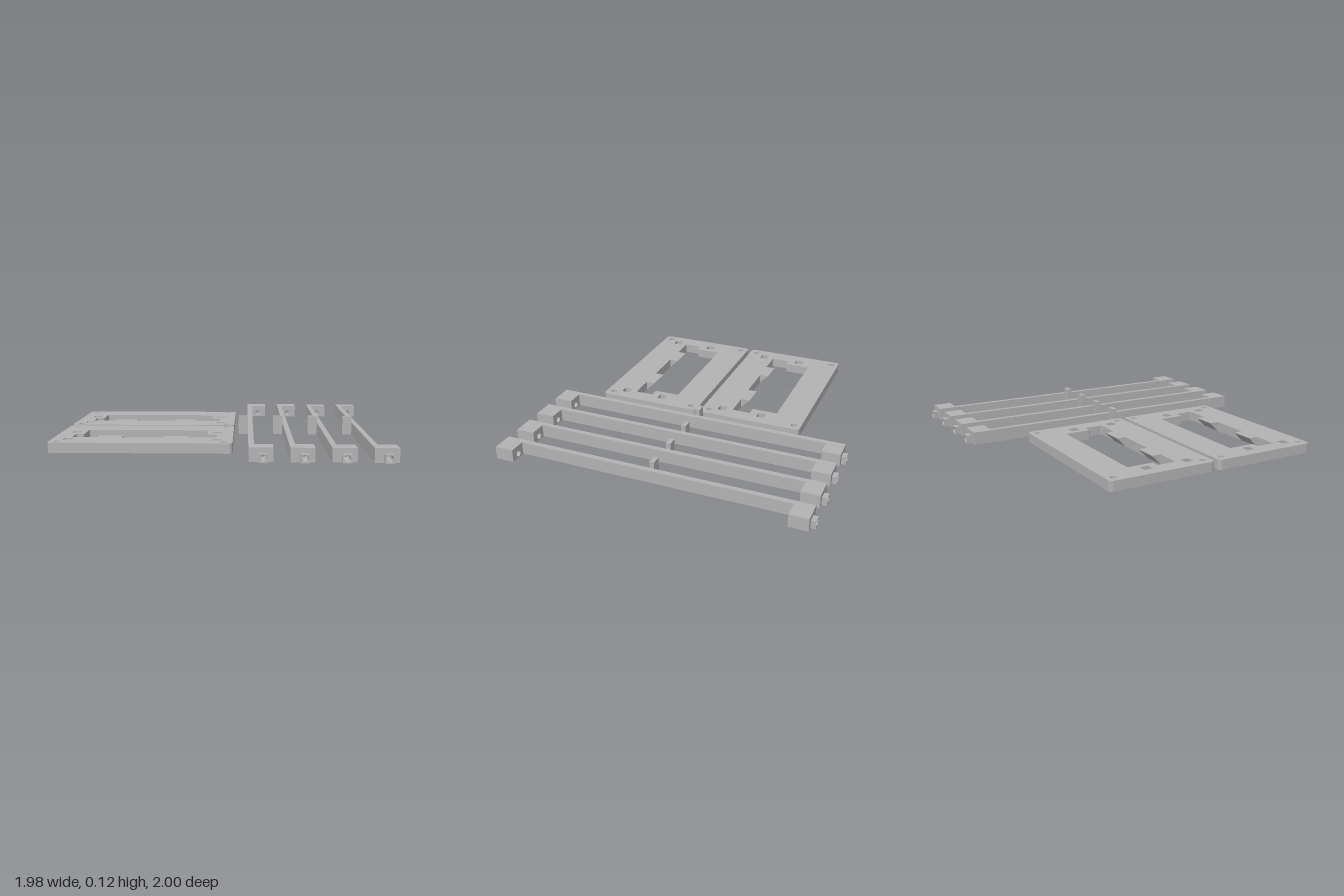
import * as THREE from 'three';

const grey = new THREE.MeshStandardMaterial({ color: 0xb3b3b3 });
grey.name = 'plain grey';

function part(name, geometry, x = 0, y = 0, z = 0) {
  const mesh = new THREE.Mesh(geometry, grey);
  mesh.name = name;
  mesh.position.set(x, y, z);
  return mesh;
}

// Closed polygon with every corner rounded by r
function roundedPath(target, points, r) {
  const v = points.map(([x, y]) => new THREE.Vector2(x, y));
  const toward = (a, b) => a.clone().add(b.clone().sub(a).setLength(r));
  v.forEach((p, i) => {
    const a = toward(p, v[(i + v.length - 1) % v.length]);
    const b = toward(p, v[(i + 1) % v.length]);
    if (i === 0) target.moveTo(a.x, a.y);
    else target.lineTo(a.x, a.y);
    target.quadraticCurveTo(p.x, p.y, b.x, b.y);
  });
  target.closePath();
  return target;
}

const rect = (x0, y0, x1, y1) => [[x0, y0], [x1, y0], [x1, y1], [x0, y1]];
const polygon = (pts) => new THREE.Shape(pts.map(([x, y]) => new THREE.Vector2(x, y)));
const circle = (x, y, r) => new THREE.Path().absarc(x, y, r, 0, Math.PI * 2, true);
const extrude = (shape, depth) =>
  new THREE.ExtrudeGeometry(shape, { depth, bevelEnabled: false, curveSegments: 8 });

// Frame plate with window, screw holes, square sockets and two ramped tabs
function framePlate(name) {
  const thick = 0.06;
  const plate = new THREE.Group();
  plate.name = name;
  const shape = roundedPath(new THREE.Shape(), rect(-0.99, -0.025, 0.08, 0.65), 0.028);
  const window = [
    [-0.885, 0.172], [-0.02, 0.172], [-0.02, 0.29], [-0.08, 0.29],
    [-0.08, 0.456], [-0.835, 0.456], [-0.835, 0.29], [-0.885, 0.29],
  ];
  shape.holes.push(roundedPath(new THREE.Path(), window, 0.008));
  for (const x of [-0.94, 0.028]) {
    for (const y of [0.602, 0.025]) shape.holes.push(circle(x, y, 0.019));
  }
  for (const x of [-0.895, -0.017]) {
    for (const y of [0.37, 0.103]) {
      shape.holes.push(polygon(rect(x - 0.027, y - 0.027, x + 0.027, y + 0.027)));
    }
  }
  plate.add(part('framePanel', extrude(shape, thick).rotateX(-Math.PI / 2)));

  // Wedge tabs: flat on top, sloping back underneath
  const wedge = polygon([[0.172, 0], [0.232, thick], [0.172, thick]]);
  for (const x of [-0.732, -0.33]) {
    plate.add(part('rampTab', extrude(wedge, 0.147).rotateY(Math.PI / 2), x));
  }
  return plate;
}

// Long bar with a drilled block and pin at both ends and a lever in the middle
function crossBar(name) {
  const bar = new THREE.Group();
  bar.name = name;
  bar.add(part('rail', new THREE.BoxGeometry(0.032, 0.08, 1.94), 0.016, 0.04, 0));
  bar.add(part('lever', new THREE.BoxGeometry(0.06, 0.12, 0.03), -0.03, 0.06, 0));

  const drilled = (x0, x1, h, depth) => {
    const shape = polygon(rect(x0, 0, x1, h));
    shape.holes.push(circle(0.078, 0.027, 0.02));
    return extrude(shape, depth);
  };
  for (const end of [1, -1]) {
    bar.add(part('endBlock', drilled(0.032, 0.136, 0.08, 0.115), 0, 0, end > 0 ? 0.855 : -0.97));
    bar.add(part('endPin', drilled(0.053, 0.103, 0.05, 0.03), 0, 0, end > 0 ? 0.97 : -1));
  }
  return bar;
}

export function createModel() {
  const model = new THREE.Group();
  model.name = 'frameKit';

  const backPlate = framePlate('backPlate');
  const frontPlate = framePlate('frontPlate');
  frontPlate.position.z = 0.705;
  model.add(backPlate, frontPlate);

  for (let i = 0; i < 4; i++) {
    const bar = crossBar('crossBar' + (i + 1));
    bar.position.x = 0.169 + i * 0.227;
    model.add(bar);
  }
  return model;
}
